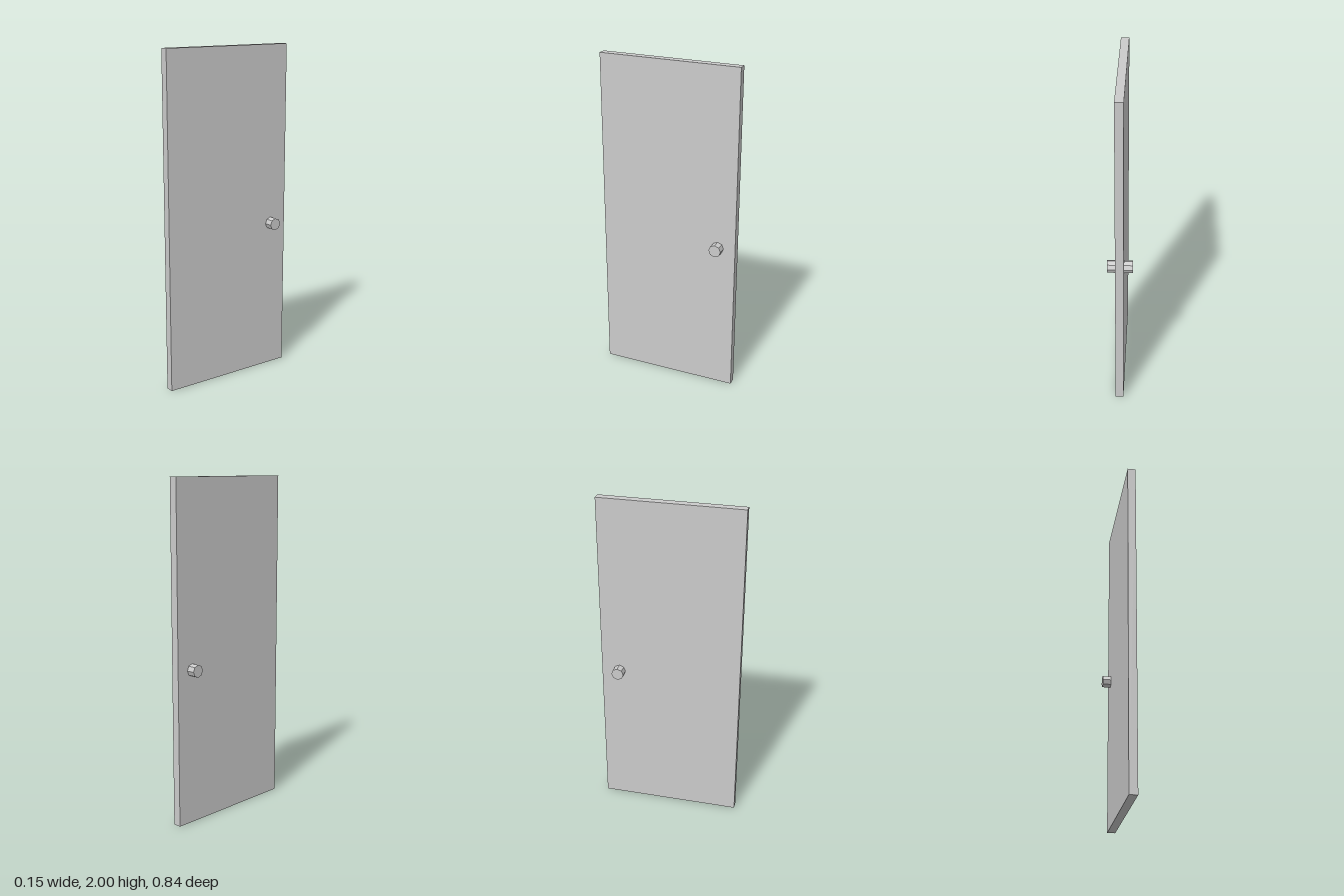
import * as THREE from 'three';

export function createModel() {
  const group = new THREE.Group();
  const material = new THREE.MeshStandardMaterial({ color: 0xcccccc, flatShading: true });

  const thickness = 0.048, height = 2, width = 0.843;
  const knobRadius = 0.037, knobLength = 0.05;

  // Door slab
  const panel = new THREE.Mesh(new THREE.BoxGeometry(thickness, height, width), material);
  panel.name = 'doorPanel';
  panel.position.y = height / 2;
  group.add(panel);

  // Octagonal knob on each face, lying along x with corners up and down
  const knobGeometry = new THREE.CylinderGeometry(knobRadius, knobRadius, knobLength, 8);
  knobGeometry.rotateZ(Math.PI / 2);
  for (const side of [-1, 1]) {
    const knob = new THREE.Mesh(knobGeometry, material);
    knob.name = side > 0 ? 'leftKnob' : 'rightKnob';
    knob.position.set(side * (thickness + knobLength) / 2, 0.919, -0.313);
    group.add(knob);
  }
  return group;
}
